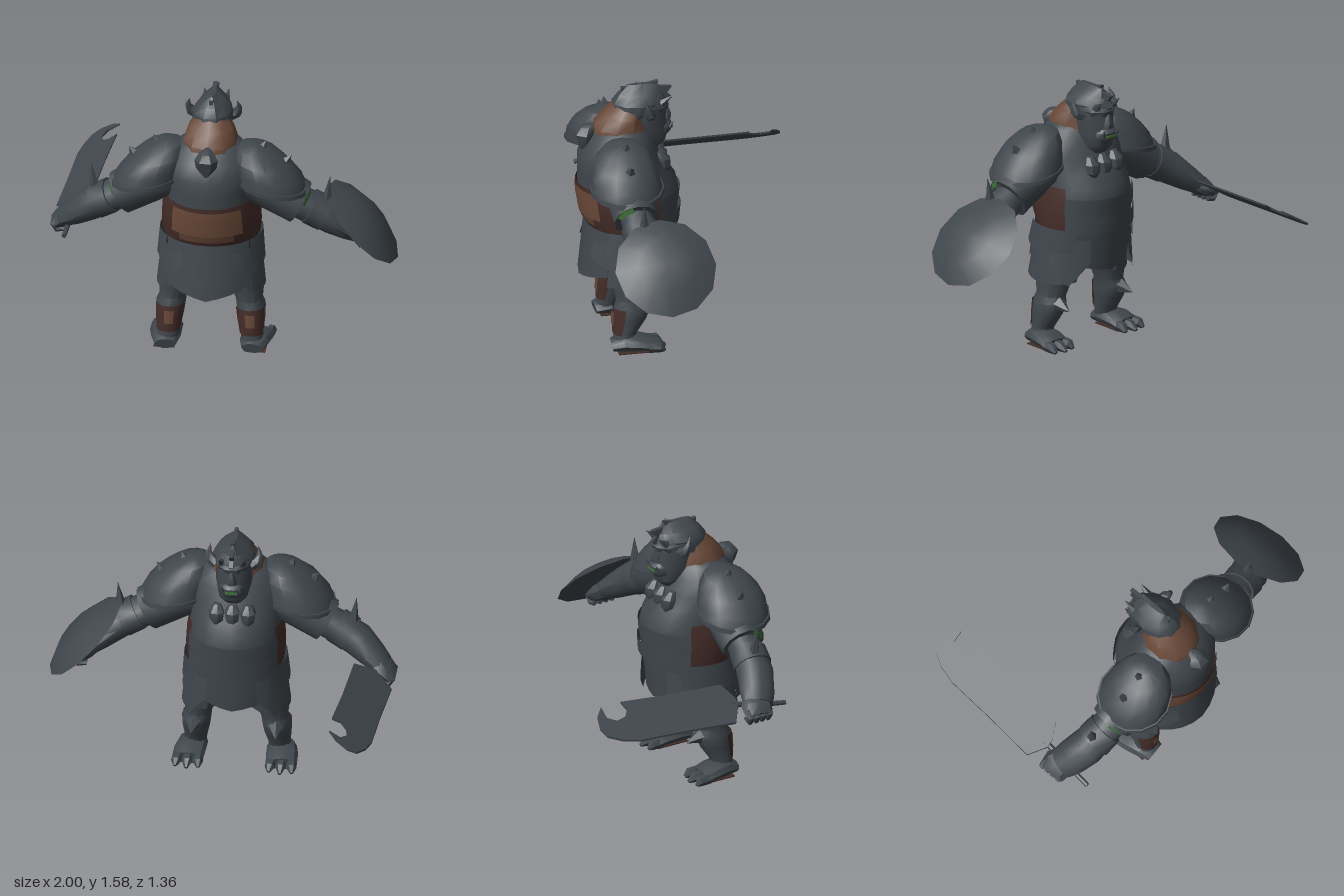
import * as THREE from 'three';
import { toCreasedNormals } from 'three/addons/utils/BufferGeometryUtils.js';

const mat = (name, color) => new THREE.MeshStandardMaterial({ name, color, side: THREE.DoubleSide });
const V = (x, y, z) => new THREE.Vector3(x, y, z);
const PI = Math.PI, BACK = -PI / 2, FRONT = PI / 2;

export function createModel() {
  const slate = mat('slate', 0x40474d), brown = mat('leather', 0x694938);
  const dark = mat('darkLeather', 0x452d29), green = mat('green', 0x3f7236);
  const model = new THREE.Group(), body = new THREE.Group();
  body.name = 'body';
  body.position.x = -0.07;
  model.add(body);

  const add = (name, geo, m = slate, parent = body) => {
    const mesh = new THREE.Mesh(toCreasedNormals(geo, 0.65), m);
    mesh.name = name;
    parent.add(mesh);
    return mesh;
  };

  // Skin elliptical sections [x, y, z, ra, rb]; a partial arc stays open
  function loft(secs, ref, { axis, from = 0, to = 2 * PI, n = 12 } = {}) {
    const pos = [], idx = [], full = to - from > 6.28;
    const c = secs.map(s => V(s[0], s[1], s[2]));
    secs.forEach((s, i) => {
      const t = axis ? axis.clone()
        : c[Math.min(i + 1, c.length - 1)].clone().sub(c[Math.max(i - 1, 0)]).normalize();
      const a = ref.clone().addScaledVector(t, -ref.dot(t)).normalize(), b = t.clone().cross(a);
      for (let j = 0; j <= n; j++) {
        const q = from + (to - from) * j / n;
        const p = c[i].clone().addScaledVector(a, Math.cos(q) * s[3]).addScaledVector(b, Math.sin(q) * (s[4] ?? s[3]));
        pos.push(p.x, p.y, p.z);
        if (i && j) {
          const k = i * (n + 1) + j, l = k - n - 1;
          idx.push(l - 1, l, k, l - 1, k, k - 1);
        }
      }
    });
    if (full) [0, secs.length - 1].forEach(i => {
      const k = pos.length / 3;
      pos.push(c[i].x, c[i].y, c[i].z);
      for (let j = 0; j < n; j++) {
        const p = i * (n + 1) + j;
        idx.push(k, i ? p : p + 1, i ? p + 1 : p);
      }
    });
    const g = new THREE.BufferGeometry();
    g.setAttribute('position', new THREE.Float32BufferAttribute(pos, 3));
    g.setIndex(idx);
    return g;
  }
  // Upright loft with level rings [x, y, z, rx, rz], listed from low to high
  const column = (secs, o = {}) => loft(secs, V(1, 0, 0), { axis: V(0, 1, 0), ...o });

  function spike(name, a, b, r, sides = 5) {
    const d = b.clone().sub(a), g = new THREE.ConeGeometry(r, d.length(), sides);
    g.translate(0, d.length() / 2, 0);
    g.applyQuaternion(new THREE.Quaternion().setFromUnitVectors(V(0, 1, 0), d.normalize()));
    g.translate(a.x, a.y, a.z);
    add(name, g);
  }

  // Curved skirt plate with a pointed, flared hem
  function tasset(name, mid, half, top, bottom, rise, grow, flare = 0.05) {
    const g = new THREE.PlaneGeometry(1, 1, 8, 3), p = g.attributes.position;
    for (let i = 0; i < p.count; i++) {
      const u = p.getX(i) * 2, v = 0.5 - p.getY(i), q = mid + u * half;
      const r = 1 + flare * v + grow;
      p.setXYZ(i, Math.cos(q) * 0.275 * r, top + (bottom + rise * Math.abs(u) - top) * v,
        0.36 + 0.02 * v - Math.sin(q) * 0.25 * r);
    }
    add(name, g);
  }

  // Torso
  const trunk = [
    [0, 0.6, 0.36, 0.25, 0.22], [0, 0.72, 0.35, 0.272, 0.25], [0, 0.8, 0.36, 0.28, 0.28],
    [0, 0.9, 0.365, 0.275, 0.292], [0, 0.985, 0.375, 0.262, 0.285], [0, 1.06, 0.4, 0.265, 0.26],
    [0, 1.14, 0.42, 0.27, 0.235], [0, 1.23, 0.42, 0.25, 0.2], [0, 1.3, 0.41, 0.19, 0.15], [0, 1.34, 0.4, 0.12, 0.1]];
  const shell = (a, b, e) => trunk.slice(a, b).map(s => [s[0], s[1], s[2], s[3] + e, s[4] + e]);
  add('torso', column(trunk, { n: 20 }));
  add('belt', column(shell(1, 5, 0.008), { from: BACK - 2.05, to: BACK + 2.05, n: 18 }), dark);
  add('beltPatch', column([[0, 0.8, 0.36, 0.292, 0.292], [0, 0.9, 0.365, 0.287, 0.304],
    [0, 0.96, 0.373, 0.276, 0.299]], { from: BACK - 0.78, to: BACK + 0.78, n: 8 }), brown);
  add('beltPatchLower', column([[0, 0.755, 0.355, 0.288, 0.279], [0, 0.8, 0.36, 0.292, 0.292]],
    { from: BACK - 0.58, to: BACK + 0.58, n: 6 }), brown);
  [[0.72, 0.82, 0.355], [0.84, 0.93, 0.36]].forEach(([lo, hi, z]) => add('bellyPlate', column(
    [[0, lo, z, 0.29, 0.284], [0, hi, z, 0.285, 0.294]], { from: FRONT - 1.1, to: FRONT + 1.1, n: 10 })));

  // Skirt
  add('skirtLining', column([[0, 0.49, 0.38, 0.25, 0.2], [0, 0.72, 0.36, 0.265, 0.24]], { n: 16 }), dark);
  tasset('backTasset', BACK, 0.95, 0.73, 0.39, 0.07, 0.04);
  tasset('frontTasset', FRONT, 0.85, 0.73, 0.47, 0.05, 0.04, -0.02);
  for (const s of [1, -1]) {
    tasset('sideTasset', FRONT - s * 1.5, 0.7, 0.74, 0.57, 0.04, 0.08);
    tasset('lowerSideTasset', FRONT - s * 1.62, 0.55, 0.66, 0.4, 0.01, 0.04, 0.1);
    tasset('rearSideTasset', BACK + s * 0.95, 0.42, 0.68, 0.51, 0.06, 0.05);
    tasset('frontSideTasset', FRONT - s * 0.92, 0.42, 0.68, 0.4, 0.14, 0.04, 0.1);
  }

  // Back stud and chest beads
  add('backStud', column([[0, 1.17, 0.63, 0.01, 0.01], [0, 1.23, 0.62, 0.06, 0.04], [0, 1.28, 0.62, 0.068, 0.06],
    [0, 1.32, 0.6, 0.04, 0.05], [0, 1.335, 0.58, 0.01, 0.02]], { n: 6 }));
  for (const x of [-0.09, 0, 0.09]) {
    add('chestBead', column([[x, 1.045, 0.16, 0.015, 0.015], [x, 1.07, 0.17, 0.042, 0.04],
      [x, 1.12, 0.18, 0.047, 0.046], [x, 1.16, 0.2, 0.022, 0.024]], { n: 7 }));
  }

  // Neck mantle, head and helmet
  add('neckMantle', column([[0, 1.2, 0.395, 0.16, 0.185], [0, 1.26, 0.405, 0.165, 0.18], [0, 1.32, 0.41, 0.16, 0.165],
    [0, 1.39, 0.39, 0.135, 0.125], [0, 1.45, 0.36, 0.09, 0.09]], { n: 10, from: PI / 10, to: 2.1 * PI }), brown);
  add('head', column([[0, 1.17, 0.22, 0.05, 0.035], [0, 1.21, 0.23, 0.085, 0.085], [0, 1.29, 0.27, 0.105, 0.145],
    [0, 1.36, 0.28, 0.105, 0.14], [0, 1.44, 0.28, 0.112, 0.145], [0, 1.5, 0.28, 0.08, 0.12], [0, 1.54, 0.28, 0.03, 0.07]]));
  add('muzzle', column([[0, 1.235, 0.18, 0.05, 0.04], [0, 1.265, 0.165, 0.068, 0.05], [0, 1.305, 0.165, 0.068, 0.055],
    [0, 1.325, 0.17, 0.055, 0.04]], { n: 10 }));
  add('nose', column([[0, 1.33, 0.145, 0.035, 0.03], [0, 1.36, 0.14, 0.028, 0.03], [0, 1.41, 0.15, 0.012, 0.02]], { n: 6 }));
  add('brow', column([[0, 1.4, 0.27, 0.1, 0.135], [0, 1.43, 0.27, 0.114, 0.145], [0, 1.45, 0.28, 0.112, 0.14]], { n: 10 }));
  add('lip', new THREE.BoxGeometry(0.07, 0.012, 0.008).translate(0, 1.285, 0.112), green);
  add('helmet', column([[0, 1.385, 0.34, 0.115, 0.12], [0, 1.46, 0.31, 0.118, 0.15], [0, 1.51, 0.295, 0.08, 0.13],
    [0, 1.56, 0.28, 0.015, 0.09]], { n: 10 }));
  const crest = new THREE.Shape([[0.46, 1.42], [0.4, 1.46], [0.405, 1.55], [0.35, 1.54], [0.19, 1.575], [0.2, 1.54],
    [0.11, 1.53], [0.14, 1.49], [0.11, 1.46], [0.16, 1.42], [0.3, 1.4]].map(p => new THREE.Vector2(...p)));
  add('helmetCrest', new THREE.ExtrudeGeometry(crest, { depth: 0.024, bevelEnabled: false })
    .translate(0, 0, -0.012).rotateY(-PI / 2));
  add('helmetNeckGuard', loft([[0, 1.46, 0.34, 0.1, 0.05], [0, 1.44, 0.41, 0.05, 0.035], [0, 1.42, 0.46, 0.004, 0.004]],
    V(1, 0, 0), { n: 6 }));

  for (const s of [1, -1]) {
    spike('tusk', V(s * 0.05, 1.29, 0.13), V(s * 0.055, 1.33, 0.11), 0.012);
    spike('browSpike', V(s * 0.06, 1.45, 0.18), V(s * 0.07, 1.5, 0.12), 0.025);
    add('helmetHorn', loft([[s * 0.1, 1.4, 0.25, 0.035], [s * 0.135, 1.42, 0.26, 0.03],
      [s * 0.148, 1.46, 0.275, 0.017], [s * 0.138, 1.505, 0.29, 0.002]], V(0, 0, 1), { n: 6 }));

    // Domed shoulder pad, tipped outward, with spikes
    const side = V(0, 0, s), arm = ps => ps.map(p => [p[0] * s, ...p.slice(1)]);
    const tip = { axis: V(s * 0.17, 0.985, 0), n: 14 };
    add('shoulderPad', column(arm([[0.355, 1.085, 0.445, 0.21, 0.21], [0.34, 1.15, 0.45, 0.2, 0.2],
      [0.305, 1.22, 0.45, 0.175, 0.175], [0.275, 1.285, 0.44, 0.12, 0.125], [0.265, 1.32, 0.43, 0.04, 0.05]]), tip));
    add('padRim', column(arm([[0.358, 1.07, 0.445, 0.218, 0.217], [0.354, 1.095, 0.445, 0.217, 0.217]]), tip));
    for (const [x, y, tx, ty] of [[0.28, 1.23, 0.325, 1.34], [0.39, 1.15, 0.47, 1.255]])
      spike('padSpike', V(s * x, y, 0.44), V(s * tx, ty, 0.44), 0.08);

    // Arm
    add('sleeve', loft(arm([[0.18, 1.13, 0.43, 0.14, 0.12], [0.34, 1.05, 0.43, 0.145, 0.13], [0.52, 0.95, 0.42, 0.13, 0.13]]), side));
    add('forearm', loft(arm([[0.46, 0.98, 0.42, 0.095], [0.6, 0.905, 0.41, 0.1, 0.095], [0.7, 0.85, 0.39, 0.11, 0.095],
      [0.79, 0.78, 0.35, 0.105, 0.075], [0.85, 0.735, 0.32, 0.09, 0.058]]), side));
    add('bracer', loft(arm([[0.57, 0.925, 0.415, 0.11, 0.103], [0.66, 0.875, 0.4, 0.113, 0.103]]), side));
    add('sleeveTrim', loft(arm([[0.521, 0.95, 0.42, 0.13], [0.54, 0.94, 0.42, 0.1]]), side,
      s > 0 ? { from: -1.3, to: -0.35, n: 4 } : { from: 3.5, to: 4.45, n: 4 }), green);
    spike('bracerSpike', V(s * 0.665, 0.92, 0.4), V(s * 0.69, 1.12, 0.41), 0.042);
    add('hand', loft(arm([[0.81, 0.76, 0.33, 0.08, 0.055], [0.86, 0.725, 0.305, 0.095, 0.058],
      [0.905, 0.685, 0.3, 0.085, 0.042]]), side, { n: 8 }));
    for (let i = 0; i < 4; i++) {
      const z = 0.24 + i * 0.04;
      add('finger', loft(arm([[0.88, 0.725, z, 0.021], [0.915, 0.69, z, 0.022], [0.895, 0.66, z, 0.02], [0.85, 0.665, z, 0.014]]),
        V(0, 0, 1), { n: 6 }));
    }

    // Leg
    const leg = arm([[0.25, 0.05, 0.44, 0.068, 0.065], [0.24, 0.11, 0.43, 0.066, 0.068], [0.235, 0.2, 0.4, 0.08, 0.1],
      [0.23, 0.27, 0.385, 0.085, 0.11], [0.22, 0.31, 0.385, 0.078, 0.095], [0.205, 0.4, 0.38, 0.1, 0.115],
      [0.17, 0.56, 0.37, 0.11, 0.14]]);
    add('leg', column(leg));
    add('legGuard', column([[s * 0.19, 0.4, 0.37, 0.11, 0.135], [s * 0.165, 0.56, 0.365, 0.11, 0.15]], { n: 10 }));
    add('calfWrap', column(leg.slice(1, 4).map(p => [p[0], p[1], p[2], p[3] + 0.006, p[4] + 0.006]),
      { from: BACK - 1.12, to: BACK + 1.12, n: 8 }), dark);
    add('calfPatch', column([[s * 0.236, 0.165, 0.41, 0.083, 0.1], [s * 0.232, 0.245, 0.39, 0.092, 0.118]],
      { from: BACK - 0.28, to: BACK + 0.35, n: 4 }), brown);
    spike('kneeSpike', V(s * 0.235, 0.27, 0.3), V(s * 0.245, 0.25, 0.2), 0.045);

    // Foot with three toes
    add('foot', loft([[s * 0.25, 0.038, 0.51, 0.062, 0.033], [s * 0.255, 0.055, 0.44, 0.085, 0.053],
      [s * 0.265, 0.052, 0.36, 0.092, 0.05], [s * 0.27, 0.038, 0.28, 0.09, 0.035]], V(1, 0, 0), { n: 10 }));
    for (const k of [-1, 0, 1]) {
      const x = s * 0.27 + k * 0.055;
      add('toe', loft([[x, 0.037, 0.31, 0.033, 0.034], [x + k * 0.008, 0.034, 0.24, 0.029, 0.03],
        [x + k * 0.012, 0.016, 0.2 + 0.015 * Math.abs(k), 0.01]], V(1, 0, 0), { n: 6 }));
    }
    add('sole', new THREE.BoxGeometry(0.12, 0.006, 0.2).translate(s * 0.262, 0.003, 0.38), dark);
  }

  // Domed shield on the left arm
  const shield = add('shield', new THREE.LatheGeometry(
    [[0, 0.02], [0.295, 0], [0.17, 0.06], [0, 0.08]].map(p => new THREE.Vector2(...p)), 12), slate, model);
  shield.position.set(0.797, 0.795, 0.32);
  shield.rotation.z = -0.81;

  // Hooked cleaver in the right hand, its blade leaning across x
  const blade = new THREE.Shape([[-0.995, 0.13], [-0.97, -0.2], [-0.955, -0.48], [-0.93, -0.58], [-0.89, -0.66], [-0.84, -0.683],
    [-0.77, -0.66], [-0.725, -0.61], [-0.79, -0.61], [-0.82, -0.56], [-0.81, -0.5], [-0.775, -0.465], [-0.725, -0.48],
    [-0.752, -0.2], [-0.775, 0.155], [-0.86, 0.2], [-0.9, 0.2]].map(p => new THREE.Vector2(...p)));
  const cleaver = new THREE.ExtrudeGeometry(blade, { depth: 0.012, bevelEnabled: false }).rotateX(PI / 2);
  const cp = cleaver.attributes.position;
  for (let i = 0; i < cp.count; i++) cp.setY(i, cp.getY(i) + 0.702 + 0.63 * (cp.getX(i) + 0.99));
  add('cleaverBlade', cleaver, slate, model);
  add('cleaverHandle', loft([[-0.905, 0.69, 0.51, 0.014], [-0.895, 0.71, 0.36, 0.016], [-0.88, 0.755, 0.16, 0.018]],
    V(1, 0, 0), { n: 8 }), slate, model);
  return model;
}
